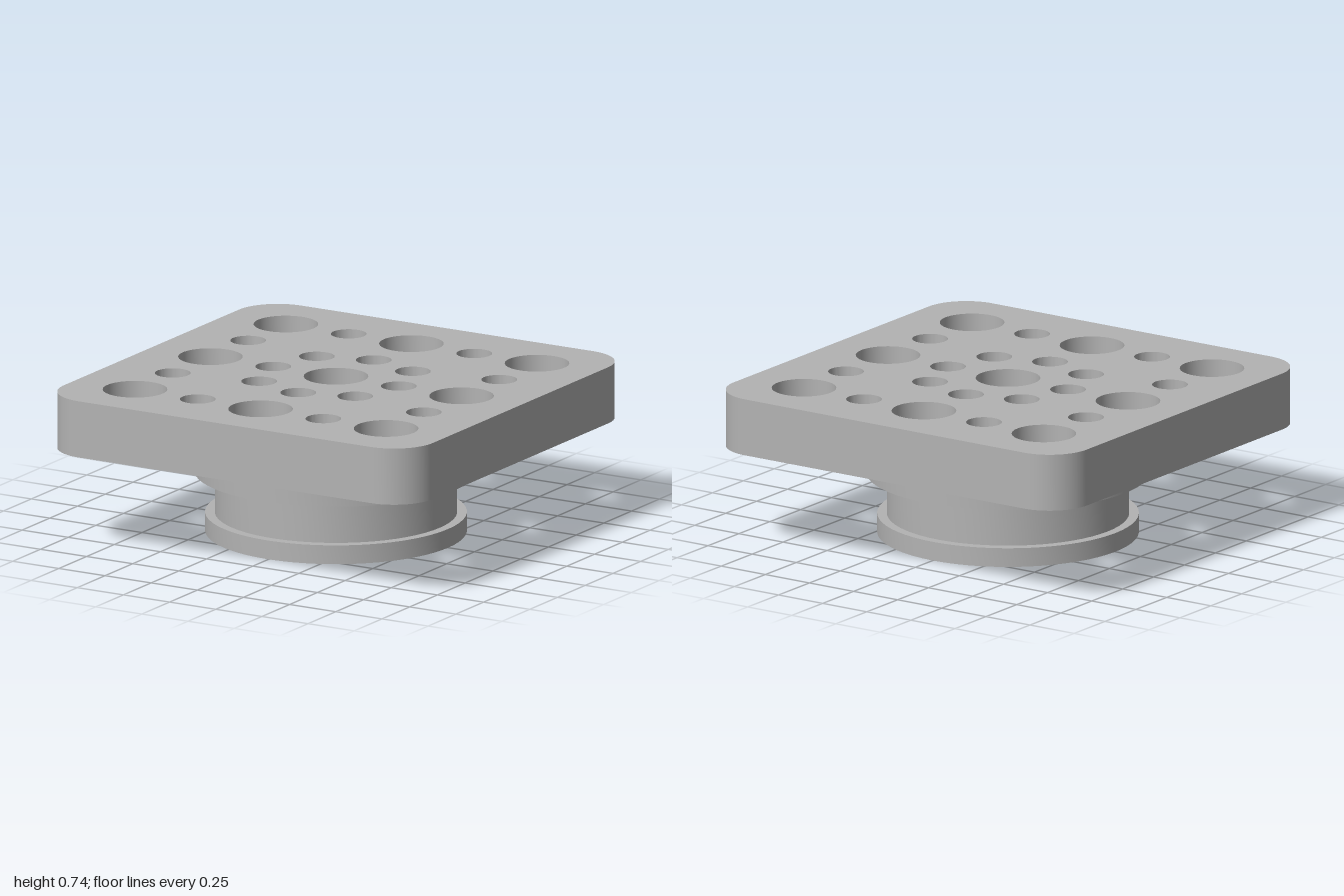
import * as THREE from 'three';
import { toCreasedNormals } from 'three/addons/utils/BufferGeometryUtils.js';

const BIG = 0.15, SMALL = 0.083;

const circle = (r, x = 0, z = 0, Type = THREE.Shape) => {
  const c = new Type();
  c.absarc(x, z, r, 0, Math.PI * 2, false);
  return c;
};

// Extrude a plan outline with round holes [radius, x, z] between two heights
function slab(name, outline, holes, y0, y1, material) {
  for (const [r, x, z] of holes) outline.holes.push(circle(r, x, z, THREE.Path));
  const geo = new THREE.ExtrudeGeometry(outline, { depth: y1 - y0, bevelEnabled: false, curveSegments: 32 });
  geo.rotateX(-Math.PI / 2);
  geo.translate(0, y0, 0);
  const mesh = new THREE.Mesh(toCreasedNormals(geo, 0.6), material);
  mesh.name = name;
  return mesh;
}

function roundedSquare(h, r) {
  const s = new THREE.Shape(), c = h - r;
  s.absarc(c, c, r, 0, Math.PI / 2, false);
  s.absarc(-c, c, r, Math.PI / 2, Math.PI, false);
  s.absarc(-c, -c, r, Math.PI, Math.PI * 1.5, false);
  s.absarc(c, -c, r, Math.PI * 1.5, Math.PI * 2, false);
  return s;
}

export function createModel() {
  const group = new THREE.Group();
  group.name = 'mountingPlate';
  const grey = new THREE.MeshStandardMaterial({ color: 0xb3b3b3 });
  grey.name = 'grey';

  // Holes running through plate and neck
  const through = [[BIG, 0, 0]];
  for (const x of [-0.26, 0.26]) for (const z of [-0.26, 0.26]) through.push([SMALL, x, z]);

  // Holes in the plate only
  const plateHoles = [...through];
  for (const x of [-0.68, 0, 0.68]) for (const z of [-0.68, 0, 0.68]) if (x || z) plateHoles.push([BIG, x, z]);
  for (const a of [-0.34, 0.34]) {
    for (const b of [-0.68, 0.68]) plateHoles.push([SMALL, a, b], [SMALL, b, a]);
    plateHoles.push([SMALL, a, 0], [SMALL, 0, a]);
  }

  group.add(
    slab('topPlate', roundedSquare(1, 0.21), plateHoles, 0.47, 0.74, grey),
    slab('collar', circle(0.66), through, 0.29, 0.47, grey),
    slab('neck', circle(0.563), through, 0.09, 0.29, grey),
    // Open ring, leaving a recess under the neck
    slab('bottomFlange', circle(0.608), [[0.508, 0, 0]], 0, 0.09, grey),
  );
  return group;
}
